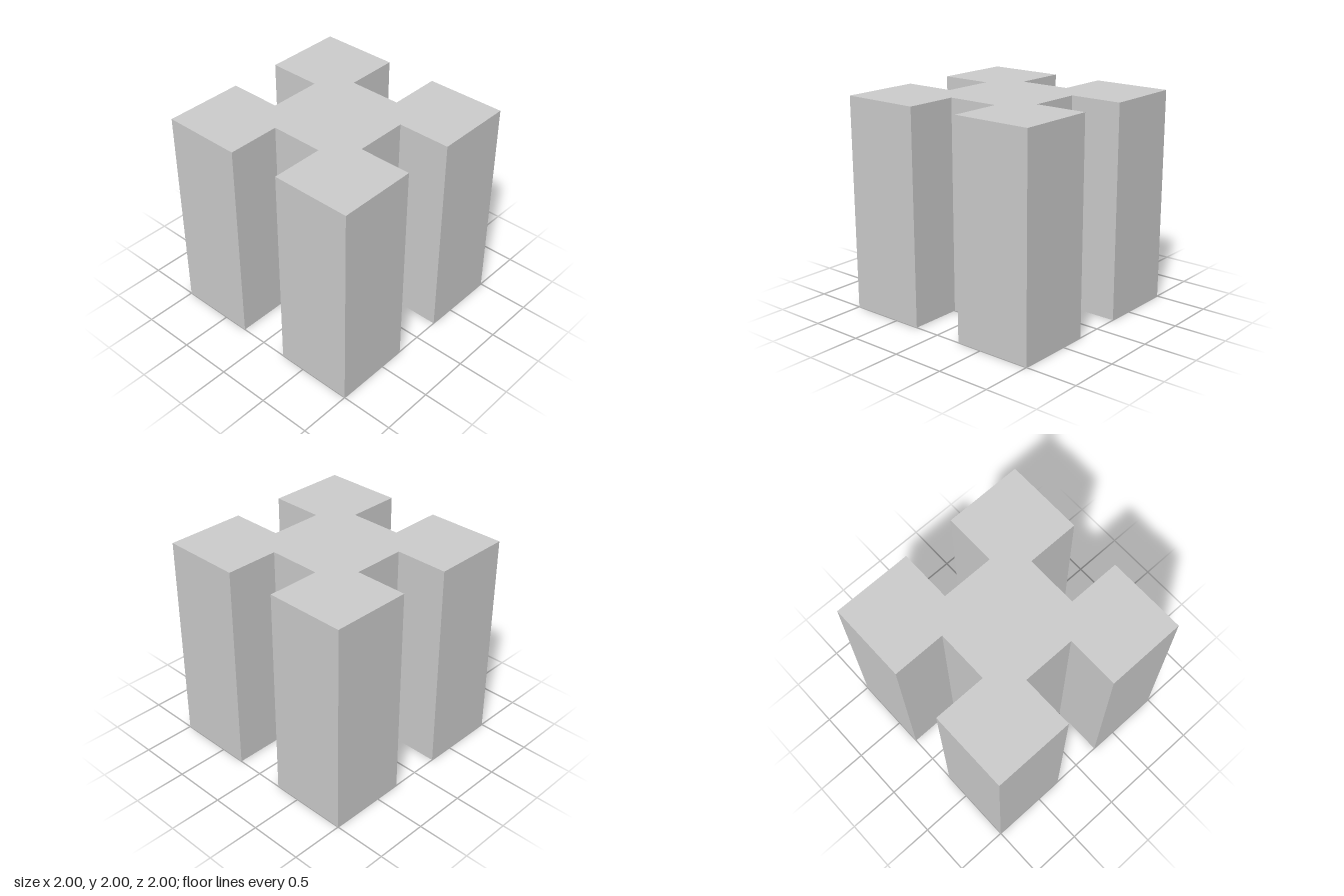
import * as THREE from 'three';

const HALF = 1;          // half width of the block
const HEIGHT = 2;
const SLOT_HALF = 0.25;  // half width of each slot
const SLOT_FLOOR = 0.5;  // distance of the slot floor from the centre

export function createModel() {
  const group = new THREE.Group();
  group.name = 'slottedBlock';

  // One side of the plan with its slot, repeated at quarter turns
  const side = [
    [-HALF, -HALF],
    [-SLOT_HALF, -HALF],
    [-SLOT_HALF, -SLOT_FLOOR],
    [SLOT_HALF, -SLOT_FLOOR],
    [SLOT_HALF, -HALF],
  ].map(([x, y]) => new THREE.Vector2(x, y));

  const outline = [];
  for (let turn = 0; turn < 4; turn++) {
    for (const p of side) {
      outline.push(p.clone());
      p.set(-p.y, p.x);
    }
  }

  // Extrude the plan upwards from the ground
  const geometry = new THREE.ExtrudeGeometry(new THREE.Shape(outline), {
    depth: HEIGHT,
    bevelEnabled: false,
  });
  geometry.rotateX(-Math.PI / 2);

  const block = new THREE.Mesh(
    geometry,
    new THREE.MeshStandardMaterial({ color: 0xcccccc, flatShading: true })
  );
  block.name = 'block';
  group.add(block);
  return group;
}
